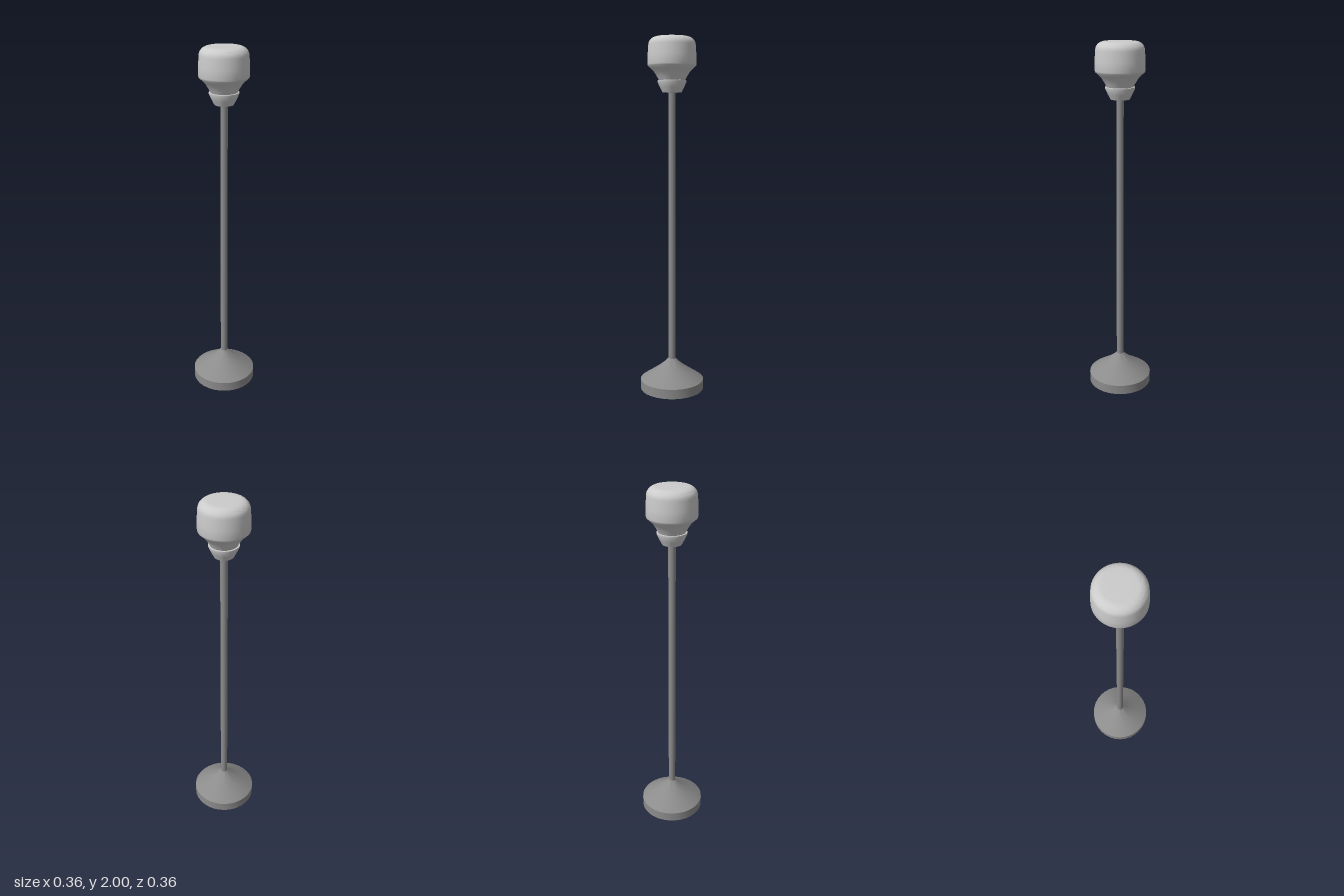
import * as THREE from 'three';
import { toCreasedNormals } from 'three/addons/utils/BufferGeometryUtils.js';

// Revolves a [radius, height] profile, listed from bottom to top
function turned(name, profile, sides, material, crease = 0.6) {
  const points = profile.map(([r, y]) => new THREE.Vector2(r, y));
  const geometry = toCreasedNormals(new THREE.LatheGeometry(points, sides), crease);
  const mesh = new THREE.Mesh(geometry, material);
  mesh.name = name;
  return mesh;
}

export function createModel() {
  const group = new THREE.Group();
  group.name = 'standWithHead';
  const light = new THREE.MeshStandardMaterial({ color: 0xcccccc });
  const dark = new THREE.MeshStandardMaterial({ color: 0x8c8c8c });

  // Weighted foot: short drum with a cone running up to the pole
  group.add(turned('base', [
    [0, 0], [0.182, 0], [0.182, 0.055], [0.155, 0.074], [0.12, 0.097],
    [0.08, 0.125], [0.045, 0.153], [0.02, 0.178], [0, 0.178],
  ], 32, dark));

  // Slim pole
  const pole = new THREE.Mesh(new THREE.CylinderGeometry(0.02, 0.02, 1.54, 20), dark);
  pole.name = 'pole';
  pole.position.y = 0.94;
  group.add(pole);

  // Flared collar between pole and head
  group.add(turned('collar', [
    [0, 1.7], [0.052, 1.7], [0.066, 1.727], [0.08, 1.757], [0.08, 1.765], [0.05, 1.768], [0, 1.768],
  ], 48, light));

  // Rounded head with a tapered neck
  const shoulder = [];
  for (let i = 0; i <= 8; i++) {
    const a = (i / 8) * Math.PI / 2;
    shoulder.push([0.082 + 0.048 * Math.cos(a), 1.955 + 0.045 * Math.sin(a)]);
  }
  group.add(turned('head', [
    [0, 1.762], [0.07, 1.762], [0.082, 1.785], [0.098, 1.81], [0.115, 1.828],
    [0.132, 1.843], [0.134, 1.85], [0.134, 1.9], ...shoulder, [0.04, 2], [0, 2],
  ], 48, light));

  return group;
}
